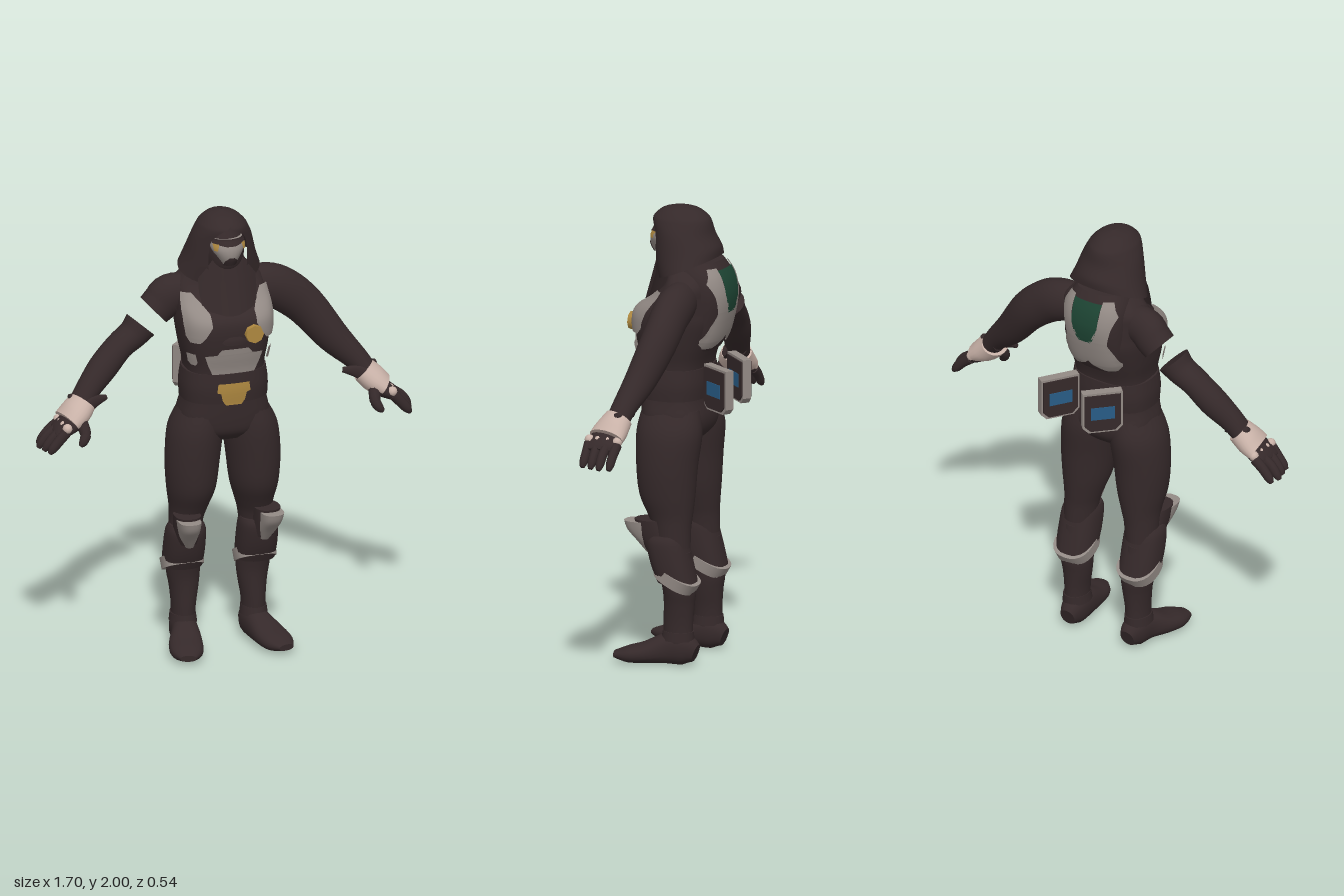
import * as THREE from 'three';

const mat = (name, color) => {
  const m = new THREE.MeshStandardMaterial({ color, side: THREE.DoubleSide });
  m.name = name;
  return m;
};

// smooth in-between rows through a list of [x, y, z, a, b] rows
function sample(rows, n = 4) {
  const out = [];
  const at = i => rows[Math.min(rows.length - 1, Math.max(0, i))];
  for (let i = 0; i < rows.length - 1; i++) {
    for (let k = 0; k < n; k++) {
      const t = k / n;
      out.push(rows[i].map((p1, c) => {
        const p0 = at(i - 1)[c], p2 = at(i + 1)[c], p3 = at(i + 2)[c];
        return p1 + 0.5 * t * (p2 - p0 + t * (2 * p0 - 5 * p1 + 4 * p2 - p3 + t * (3 * (p1 - p2) + p3 - p0)));
      }));
    }
  }
  out.push(rows[rows.length - 1]);
  return out;
}

function grid(pos, rows, cols) {
  const idx = [];
  for (let i = 0; i < rows - 1; i++) for (let j = 0; j < cols - 1; j++) {
    const a = i * cols + j, c = a + cols;
    idx.push(a, a + 1, c, a + 1, c + 1, c);
  }
  const g = new THREE.BufferGeometry();
  g.setAttribute('position', new THREE.Float32BufferAttribute(pos, 3));
  g.setIndex(idx);
  g.computeVertexNormals();
  return g;
}

const power = (v, n) => Math.sign(v) * Math.pow(Math.abs(v), 2 / n);

// closed body of oval rings; level rings (a = x, b = z) or rings across the path (a = height, b = width)
function loft(rows, { level = true, n = 2, seg = 24, sub = 4 } = {}) {
  const rs = sample(rows, sub), P = r => new THREE.Vector3(r[0], r[1], r[2]);
  const pos = [], idx = [], N = rs.length;
  rs.forEach((r, i) => {
    let t = P(rs[Math.min(N - 1, i + 1)]).sub(P(rs[Math.max(0, i - 1)])).normalize();
    let u = new THREE.Vector3(1, 0, 0);
    if (level) t = new THREE.Vector3(0, Math.sign(t.y) || 1, 0);
    else u = new THREE.Vector3(0, 1, 0).addScaledVector(t, -t.y).normalize();
    const v = t.clone().cross(u);
    for (let j = 0; j < seg; j++) {
      const a = j / seg * Math.PI * 2;
      pos.push(...P(r).addScaledVector(u, r[3] * power(Math.cos(a), n)).addScaledVector(v, r[4] * power(Math.sin(a), n)));
    }
  });
  for (let i = 0; i < N - 1; i++) for (let j = 0; j < seg; j++) {
    const a = i * seg + j, b = i * seg + (j + 1) % seg;
    idx.push(a, b, a + seg, b, b + seg, a + seg);
  }
  // end caps with their own corners so that the rims stay sharp
  [0, N - 1].forEach(i => {
    const s = pos.length / 3;
    pos.push(rs[i][0], rs[i][1], rs[i][2], ...pos.slice(i * seg * 3, (i + 1) * seg * 3));
    for (let j = 0; j < seg; j++) {
      const a = s + 1 + j, b = s + 1 + (j + 1) % seg;
      idx.push(s, ...(i ? [a, b] : [b, a]));
    }
  });
  const g = new THREE.BufferGeometry();
  g.setAttribute('position', new THREE.Float32BufferAttribute(pos, 3));
  g.setIndex(idx);
  g.computeVertexNormals();
  return g;
}

// depth of a level loft's front (s = 1) or back (s = -1) at x, y
function surface(rows, n, s, gap) {
  const rs = sample(rows);
  return (x, y) => {
    let i = 0;
    while (i < rs.length - 2 && rs[i + 1][1] < y) i++;
    const t = Math.min(1, Math.max(0, (y - rs[i][1]) / (rs[i + 1][1] - rs[i][1])));
    const [cz, rx, rz] = [2, 3, 4].map(c => rs[i][c] + t * (rs[i + 1][c] - rs[i][c]));
    const q = Math.min(0.985, Math.abs(x) / (rx + gap));
    return cz + s * (rz + gap) * Math.pow(1 - Math.pow(q, n), 1 / n);
  };
}

// thin plate hugging a surface; rows are [y, x from, x to]
function plate(rows, zAt) {
  const rs = sample(rows, 1), fine = [], pos = [], C = 9;
  for (let i = 0; i < rs.length - 1; i++) for (let k = 0; k < 4; k++) {
    fine.push(rs[i].map((p, c) => p + (rs[i + 1][c] - p) * k / 4));
  }
  fine.push(rs[rs.length - 1]);
  for (const [y, x0, x1] of fine) for (let j = 0; j < C; j++) {
    const x = x0 + (x1 - x0) * j / (C - 1);
    pos.push(x, y, zAt(x, y));
  }
  return grid(pos, fine.length, C);
}

export function createModel() {
  const cloth = mat('dark cloth', 0x35292a), armor = mat('grey armor', 0x938a85), cream = mat('cream glove', 0xc9b2a8);
  const gold = mat('gold', 0xae8840), green = mat('green', 0x1d4433), blue = mat('blue', 0x285c86);
  const root = new THREE.Group();
  const add = (name, geo, material, parent = root) => {
    const m = new THREE.Mesh(geo, material);
    m.name = name;
    parent.add(m);
    return m;
  };
  const sides = [1, -1].map(s => {
    const g = new THREE.Group();
    g.name = s > 0 ? 'leftSide' : 'rightSide';
    g.scale.x = s;
    root.add(g);
    return g;
  });
  const both = (name, geo, m) => sides.forEach(g => add(name, geo, m, g));

  // torso, belt and back shell
  const torso = [[0, 0.98, 0.05, 0.1, 0.1], [0, 1.02, 0.05, 0.175, 0.135], [0, 1.08, 0.05, 0.2, 0.145], [0, 1.17, 0.06, 0.182, 0.138],
    [0, 1.3, 0.06, 0.172, 0.14], [0, 1.4, 0.055, 0.188, 0.165], [0, 1.5, 0.045, 0.2, 0.185], [0, 1.56, 0.035, 0.2, 0.175],
    [0, 1.62, 0, 0.2, 0.13], [0, 1.68, -0.02, 0.19, 0.1], [0, 1.75, 0, 0.11, 0.08]];
  const belt = [[0, 1.165, 0.06, 0.19, 0.146], [0, 1.23, 0.06, 0.192, 0.152], [0, 1.3, 0.06, 0.182, 0.148]];
  const shell = [[0, 1.38, -0.05, 0.11, 0.07], [0, 1.45, -0.06, 0.14, 0.095], [0, 1.6, -0.07, 0.15, 0.118],
    [0, 1.7, -0.06, 0.145, 0.115], [0, 1.77, -0.04, 0.11, 0.095]];
  add('torso', loft(torso, { n: 2.8, seg: 36 }), cloth);
  add('belt', loft(belt, { n: 2.5, seg: 32 }), cloth);
  add('backShell', loft(shell, { n: 2.5 }), cloth);

  // armor plates on chest, belly and back
  const front = surface(torso, 2.8, 1, 0.014), back = surface(shell, 2.5, -1, 0.008);
  both('chestPlate', plate([[1.455, 0.15, 0.185], [1.48, 0.13, 0.198], [1.53, 0.1, 0.204], [1.58, 0.1, 0.204], [1.615, 0.125, 0.2], [1.65, 0.155, 0.195]], front), armor);
  both('ribPlate', plate([[1.345, 0.16, 0.175], [1.36, 0.155, 0.185], [1.4, 0.165, 0.192]], front), armor);
  add('bellyPlate', plate([[1.305, -0.095, 0.095], [1.35, -0.115, 0.115], [1.395, -0.13, 0.13], [1.4, -0.08, 0.08], [1.425, -0.06, 0.06]], front), armor);
  add('buckle', plate([[1.16, -0.035, 0.035], [1.18, -0.05, 0.05], [1.215, -0.058, 0.058], [1.22, -0.075, 0.075], [1.26, -0.07, 0.07]], surface(belt, 2.5, 1, 0.008)), gold);
  const badge = add('chestBadge', new THREE.CylinderGeometry(0.04, 0.042, 0.02, 8), gold);
  badge.position.set(0.085, 1.485, front(0.085, 1.485));
  badge.rotation.x = Math.PI / 2;
  both('backPlate', plate([[1.395, 0.075, 0.115], [1.42, 0.02, 0.135], [1.44, 0, 0.14], [1.5, 0, 0.125], [1.55, 0, 0.105], [1.56, 0.03, 0.105],
    [1.63, 0.065, 0.12], [1.69, 0.07, 0.14], [1.75, 0.07, 0.11]], back), armor);
  add('backInlay', plate([[1.55, -0.03, 0.03], [1.58, -0.05, 0.05], [1.64, -0.066, 0.066], [1.74, -0.07, 0.07]], back), green);

  // scarf hanging from the face to the chest
  add('scarf', plate([[1.44, -0.035, 0.035], [1.47, -0.095, 0.095], [1.56, -0.115, 0.115], [1.66, -0.13, 0.13], [1.72, -0.13, 0.13], [1.8, -0.07, 0.07]],
    (x, y) => 0.235 - 0.28 * Math.max(0, y - 1.46) - 3 * x * x), cloth);

  // hood: rows are [y, z, half width, half depth, half opening angle, tilt]
  const hood = sample([[1.735, 0, 0.182, 0.13, 0.42, -0.4], [1.8, 0.012, 0.158, 0.14, 0.58, -0.2], [1.88, 0.03, 0.134, 0.13, 0.65, 0],
    [1.93, 0.042, 0.112, 0.13, 0.42, 0], [1.955, 0.045, 0.096, 0.118, 0.02, 0], [1.985, 0.045, 0.06, 0.076, 0, 0], [2, 0.04, 0.002, 0.002, 0, 0]]);
  const hp = [], HC = 33;
  for (const [y, cz, rx, rz, open, tilt] of hood) for (let j = 0; j < HC; j++) {
    const o = Math.max(0, open), a = o + (Math.PI * 2 - 2 * o) * j / (HC - 1), z = cz + rz * Math.cos(a);
    hp.push(rx * Math.sin(a), Math.min(2, y + tilt * z), z);
  }
  add('hood', grid(hp, hood.length, HC), cloth);

  // head, mask and eye pieces
  add('head', loft([[0, 1.7, 0.02, 0.07, 0.07], [0, 1.76, 0.06, 0.08, 0.09], [0, 1.85, 0.065, 0.09, 0.1], [0, 1.93, 0.05, 0.07, 0.08]]), cloth);
  const mask = [[0, 1.785, 0.12, 0.035, 0.05], [0, 1.82, 0.12, 0.055, 0.066], [0, 1.86, 0.115, 0.075, 0.07], [0, 1.9, 0.105, 0.07, 0.06]];
  add('mask', loft(mask), armor);
  const face = surface(mask, 2, 1, 0.004);
  add('mouthPiece', plate([[1.785, -0.03, 0.03], [1.81, -0.028, 0.028], [1.825, -0.012, 0.012]], face), cloth);
  add('visor', plate([[1.875, -0.02, 0.02], [1.885, -0.072, 0.072], [1.905, -0.07, 0.07]], face), cloth);
  both('eyePiece', plate([[1.855, 0.058, 0.07], [1.885, 0.05, 0.073]], surface(mask, 2, 1, 0.006)), gold);

  // legs
  both('thigh', loft([[0.1, 1.12, 0.05, 0.09, 0.13], [0.122, 1.02, 0.05, 0.118, 0.147], [0.137, 0.88, 0.055, 0.118, 0.137], [0.142, 0.75, 0.052, 0.106, 0.125],
    [0.148, 0.66, 0.035, 0.085, 0.1], [0.155, 0.6, 0.025, 0.075, 0.085], [0.16, 0.52, 0.02, 0.07, 0.08]]), cloth);
  both('calf', loft([[0.162, 0.5, 0.02, 0.075, 0.08], [0.158, 0.35, -0.01, 0.074, 0.074], [0.155, 0.27, -0.01, 0.064, 0.068],
    [0.158, 0.18, -0.006, 0.053, 0.066], [0.16, 0.08, -0.008, 0.052, 0.066]]), cloth);
  both('shinGuard', loft([[0.16, 0.575, 0.045, 0.075, 0.075], [0.163, 0.54, 0.042, 0.086, 0.088], [0.164, 0.45, 0.02, 0.089, 0.09],
    [0.164, 0.37, -0.006, 0.086, 0.083]], { n: 2.4 }), cloth);
  const bandGeo = loft([[0, -0.025, 0, 0.09, 0.097], [0, 0.025, 0, 0.092, 0.1]], { n: 2.4, sub: 1 });
  sides.forEach(g => {
    const b = add('calfBand', bandGeo, armor, g);
    b.position.set(0.164, 0.385, -0.003);
    b.rotation.x = -0.48;
  });
  both('kneePad', loft([[0.187, 0.63, 0.165, 0.05, 0.064], [0.184, 0.59, 0.15, 0.046, 0.066], [0.178, 0.54, 0.118, 0.038, 0.055], [0.17, 0.49, 0.095, 0.02, 0.04]], { n: 2.6 }), armor);
  both('kneePadLining', loft([[0.18, 0.64, 0.115, 0.057, 0.068], [0.178, 0.58, 0.1, 0.054, 0.07], [0.17, 0.5, 0.07, 0.05, 0.06]], { n: 2.4 }), cloth);
  both('boot', loft([[0.155, 0.055, -0.087, 0.04, 0.035], [0.157, 0.068, -0.04, 0.066, 0.054], [0.165, 0.068, 0.04, 0.066, 0.06], [0.19, 0.048, 0.13, 0.045, 0.074],
    [0.208, 0.037, 0.205, 0.034, 0.068], [0.222, 0.034, 0.265, 0.014, 0.035]], { level: false, n: 2.3 }), cloth);
  both('bootCuff', loft([[0.16, 0.15, -0.008, 0.055, 0.069], [0.16, 0.11, -0.005, 0.06, 0.074]]), cloth);

  // arms: the right one has a gap between sleeve and forearm
  const limb = { level: false };
  const wrist = [[0.61, 1.24, 0.05, 0.052, 0.055], [0.66, 1.17, 0.07, 0.045, 0.055]];
  add('leftArm', loft([[0.13, 1.62, -0.02, 0.08, 0.07], [0.22, 1.605, -0.025, 0.095, 0.08], [0.3, 1.57, -0.025, 0.096, 0.08], [0.4, 1.485, -0.02, 0.088, 0.076],
    [0.51, 1.345, 0.015, 0.073, 0.066], ...wrist], limb), cloth, sides[0]);
  add('rightSleeve', loft([[0.13, 1.62, -0.02, 0.08, 0.07], [0.21, 1.61, -0.025, 0.09, 0.075], [0.25, 1.575, -0.03, 0.085, 0.076], [0.285, 1.543, -0.03, 0.078, 0.076]], limb), cloth, sides[1]);
  add('rightForearm', loft([[0.348, 1.488, -0.015, 0.074, 0.077], [0.385, 1.45, -0.01, 0.064, 0.07], [0.45, 1.405, 0, 0.06, 0.066], [0.53, 1.325, 0.02, 0.064, 0.064], ...wrist], limb), cloth, sides[1]);

  // gloves
  both('hand', loft([[0.64, 1.19, 0.065, 0.045, 0.055], [0.69, 1.13, 0.09, 0.042, 0.075], [0.75, 1.09, 0.095, 0.03, 0.08], [0.77, 1.075, 0.095, 0.02, 0.07]], limb), cloth);
  both('gloveCuff', loft([[0.635, 1.195, 0.065, 0.055, 0.066], [0.675, 1.155, 0.08, 0.058, 0.08], [0.715, 1.125, 0.09, 0.048, 0.086]], limb), cream);
  both('wristFlap', loft([[0.535, 1.21, 0.08, 0.012, 0.01], [0.6, 1.2, 0.1, 0.03, 0.014], [0.64, 1.17, 0.12, 0.03, 0.014]], limb), cloth);
  both('wristSpur', loft([[0.6, 1.23, 0.04, 0.045, 0.04], [0.66, 1.215, 0.05, 0.022, 0.03], [0.695, 1.222, 0.05, 0.008, 0.012]], limb), cloth);
  for (let i = 0; i < 4; i++) {
    const z = 0.03 + i * 0.043, r = 0.055 - 0.012 * Math.abs(i - 1);
    both('finger' + (i + 1), loft([[0.74, 1.1, z, 0.024, 0.022], [0.74 + r, 1.065, z, 0.023, 0.02], [0.77 + r, 1.03, z, 0.02, 0.018], [0.785 + r, 1.01, z, 0.01, 0.01]], { level: false, seg: 10 }), cloth);
    both('knuckle' + (i + 1), new THREE.SphereGeometry(0.022, 10, 8).translate(0.735, 1.115, z), cream);
  }
  both('thumb', loft([[0.665, 1.13, 0.13, 0.03, 0.03], [0.655, 1.085, 0.165, 0.024, 0.024], [0.67, 1.055, 0.18, 0.02, 0.02], [0.685, 1.04, 0.185, 0.01, 0.01]], { level: false, seg: 10 }), cloth);

  // two angled pouches behind the belt
  const outline = k => {
    const s = new THREE.Shape(), w = 0.088 * k, h = 0.098 * k, c = 0.025;
    [[-w, -h + c], [-w + c, -h], [w - c, -h], [w, -h + c], [w, h], [-w, h]].forEach(([x, y], i) => i ? s.lineTo(x, y) : s.moveTo(x, y));
    return s;
  };
  const slab = (k, d) => new THREE.ExtrudeGeometry(outline(k), { depth: d, bevelEnabled: false }).translate(0, 0, -d / 2);
  [[0.135, 0.98, 'leftPouch'], [-0.09, 0.8, 'rightPouch']].forEach(([x, turn, name]) => {
    const p = new THREE.Group();
    p.name = name;
    add('pouchRim', slab(1, 0.038), armor, p);
    add('pouchBody', slab(0.9, 0.05), cloth, p);
    add('pouchLabel', new THREE.BoxGeometry(0.105, 0.06, 0.056), blue, p);
    p.position.set(x, 1.232, -0.185);
    p.rotation.y = turn;
    root.add(p);
  });
  return root;
}
